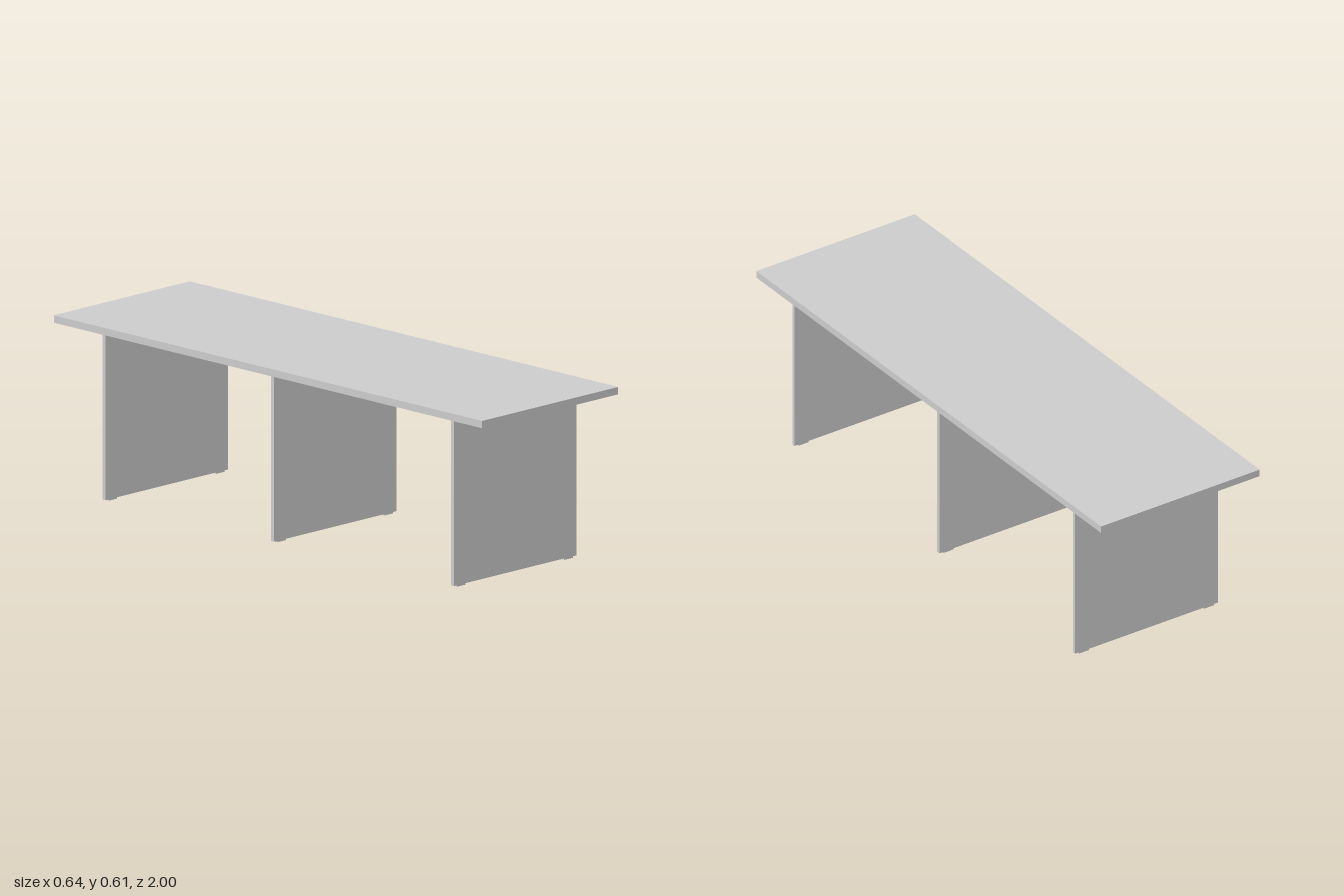
import * as THREE from 'three';

export function createModel() {
  const group = new THREE.Group();
  const material = new THREE.MeshStandardMaterial({ color: 0xcccccc });

  // Box placed by its centre in x and z and its underside in y
  function addBox(parent, name, [w, h, d], [x, y, z]) {
    const mesh = new THREE.Mesh(new THREE.BoxGeometry(w, h, d), material);
    mesh.name = name;
    mesh.position.set(x, y + h / 2, z);
    parent.add(mesh);
  }

  const footHeight = 0.005;
  const topBottom = 0.58;

  // Table top
  addBox(group, 'tableTop', [0.64, 0.025, 2], [0, topBottom, 0]);

  // Three panel legs, each on two low glides
  const legs = { frontLeg: 0.83, middleLeg: -0.01, backLeg: -0.797 };
  for (const [name, z] of Object.entries(legs)) {
    const leg = new THREE.Group();
    leg.name = name;
    leg.position.z = z;
    addBox(leg, 'legPanel', [0.577, topBottom - footHeight, 0.013], [0, footHeight, 0]);
    for (const side of [1, -1]) {
      addBox(leg, side > 0 ? 'leftFoot' : 'rightFoot', [0.04, footHeight, 0.012], [side * 0.252, 0, 0]);
    }
    group.add(leg);
  }
  return group;
}
